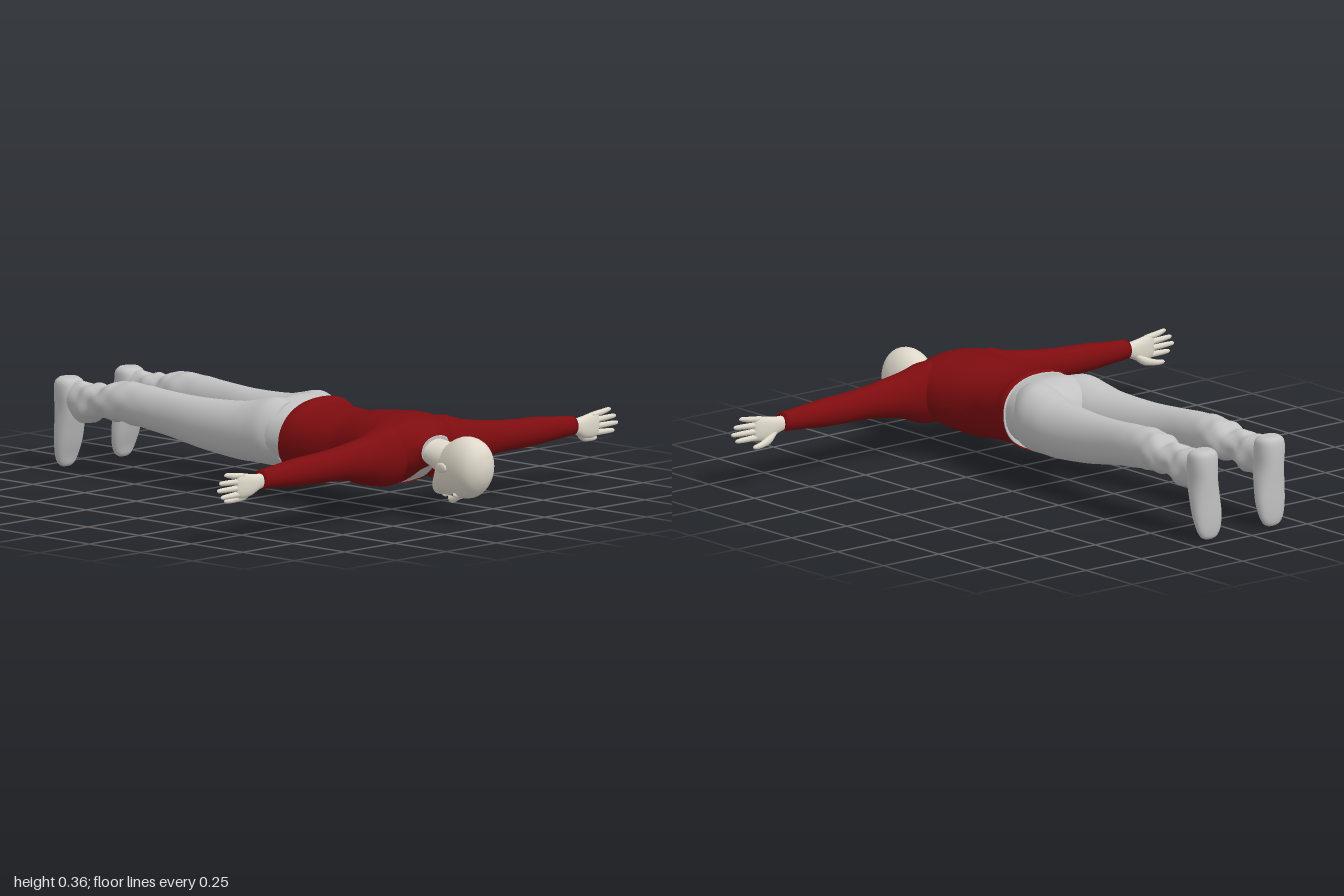
import * as THREE from 'three';

const mat = (name, color, side = THREE.FrontSide) => {
  const m = new THREE.MeshStandardMaterial({ color, side });
  m.name = name;
  return m;
};

// Lofts smooth oval rings along an axis.
// Section: [t, centreU, centreV, radiusU, radiusV, shear, wrinkle]
// Ring plane (u, v): axis z -> (x, y), axis x -> (y, z), axis y -> (z, x)
const place = {
  z: (t, u, v) => [u, v, t],
  x: (t, u, v) => [t, u, v],
  y: (t, u, v) => [v, t, u],
};
function loft(axis, sections, { sides = 28, steps = 4, power = 1, from = 0, to = Math.PI * 2, grow = 0, caps = true } = {}) {
  const rows = [];
  const at = (i, k) => sections[Math.min(Math.max(i, 0), sections.length - 1)][k] || 0;
  for (let i = 0; i < sections.length - 1; i++) {
    for (let j = 0; j < steps; j++) {
      const f = j / steps;
      rows.push([0, 1, 2, 3, 4, 5, 6].map((k) => {
        const a = at(i - 1, k), b = at(i, k), c = at(i + 1, k), d = at(i + 2, k);
        return b + 0.5 * f * (c - a + f * (2 * a - 5 * b + 4 * c - d + f * (3 * (b - c) + d - a)));
      }));
    }
  }
  rows.push([0, 1, 2, 3, 4, 5, 6].map((k) => at(sections.length - 1, k)));

  const full = to - from > 6.28;
  const cols = full ? sides : sides + 1;
  const pos = [], index = [];
  const flip = rows[rows.length - 1][0] < rows[0][0];
  const tri = (a, b, c) => (flip ? index.push(a, c, b) : index.push(a, b, c));
  const round = (x) => Math.sign(x) * Math.abs(x) ** power;
  for (const [t, cu, cv, ru, rv, shear, wrinkle] of rows) {
    for (let j = 0; j < cols; j++) {
      const a = from + (to - from) * j / sides;
      const w = 1 + wrinkle * Math.sin(2 * a + t * 75) + wrinkle * 0.6 * Math.sin(5 * a - t * 50);
      pos.push(...place[axis](t + shear * Math.sin(a),
        cu + (Math.max(ru, 0.001) + grow) * w * round(Math.cos(a)),
        cv + (Math.max(rv, 0.001) + grow) * w * round(Math.sin(a))));
    }
  }
  for (let i = 0; i < rows.length - 1; i++) {
    for (let j = 0; j < sides; j++) {
      const a = i * cols + j, b = i * cols + (j + 1) % cols;
      tri(a, b, b + cols);
      tri(a, b + cols, a + cols);
    }
  }
  if (caps && full) {
    for (const i of [0, rows.length - 1]) {
      const c = pos.length / 3;
      pos.push(...place[axis](rows[i][0], rows[i][1], rows[i][2]));
      for (let j = 0; j < cols; j++) {
        const a = i * cols + j, b = i * cols + (j + 1) % cols;
        i ? tri(a, b, c) : tri(b, a, c);
      }
    }
  }
  const g = new THREE.BufferGeometry();
  g.setAttribute('position', new THREE.Float32BufferAttribute(pos, 3));
  g.setIndex(index);
  g.computeVertexNormals();
  return g;
}

export function createModel() {
  const model = new THREE.Group();
  model.name = 'lyingFigure';
  const red = mat('jacketRed', 0x7d0c0f, THREE.DoubleSide);
  const grey = mat('clothGrey', 0xc2c2c2);
  const skin = mat('paleSkin', 0xded8ca);
  const dark = mat('eyeDark', 0x5a5550);
  const add = (name, geometry, material) => {
    const m = new THREE.Mesh(geometry, material);
    m.name = name;
    model.add(m);
    return m;
  };
  const ball = (name, material, p, r) => {
    const m = add(name, new THREE.SphereGeometry(1, 20, 14), material);
    m.position.set(...p);
    m.scale.set(...r);
    return m;
  };

  // Jacket, open along the chest, over a shirt
  const torso = [
    [0.13, 0, 0.222, 0.183, 0.133, 0.02], [0.16, 0, 0.226, 0.178, 0.134, 0.015],
    [0.22, 0, 0.217, 0.167, 0.122], [0.34, 0, 0.208, 0.154, 0.123],
    [0.42, 0, 0.21, 0.167, 0.132], [0.5, 0, 0.218, 0.19, 0.131],
    [0.57, 0, 0.228, 0.205, 0.124], [0.63, 0, 0.237, 0.195, 0.104],
    [0.67, 0, 0.24, 0.15, 0.077], [0.695, 0, 0.238, 0.09, 0.06],
    [0.715, 0, 0.238, 0.07, 0.05, 0.008],
  ];
  const gap = 0.17, down = -Math.PI / 2;
  add('jacket', loft('z', torso, { power: 0.9, sides: 44, from: down + gap, to: down + Math.PI * 2 - gap }), red);
  add('shirt', loft('z', torso, { power: 0.9, sides: 44, grow: -0.004 }), grey);

  // Trouser seat
  add('trouserSeat', loft('z', [
    [0.18, 0, 0.222, 0.16, 0.115], [0.12, 0, 0.23, 0.177, 0.121], [0.06, 0, 0.235, 0.19, 0.122],
    [0.0, 0, 0.228, 0.18, 0.108], [-0.04, 0, 0.222, 0.1, 0.08], [-0.06, 0, 0.22, 0.03, 0.04],
  ], { power: 0.9 }), grey);

  // Neck and head, face turned down
  add('neck', loft('z', [
    [0.66, 0, 0.238, 0.066, 0.05], [0.71, 0, 0.23, 0.062, 0.048],
    [0.76, 0, 0.215, 0.062, 0.058], [0.81, 0, 0.205, 0.06, 0.06],
  ]), skin);
  add('head', loft('z', [
    [0.722, 0, 0.115, 0.015, 0.015], [0.732, 0, 0.118, 0.034, 0.032], [0.75, 0, 0.135, 0.05, 0.05],
    [0.78, 0, 0.172, 0.065, 0.086], [0.82, 0, 0.186, 0.074, 0.102], [0.86, 0, 0.192, 0.079, 0.109],
    [0.9, 0, 0.194, 0.078, 0.104], [0.93, 0, 0.197, 0.068, 0.087], [0.952, 0, 0.2, 0.046, 0.058],
    [0.962, 0, 0.2, 0.022, 0.028], [0.965, 0, 0.2, 0.004, 0.005],
  ], { sides: 36 }), skin);
  add('nose', loft('z', [
    [0.783, 0, 0.09, 0.006, 0.006], [0.79, 0, 0.08, 0.017, 0.018], [0.802, 0, 0.078, 0.014, 0.018],
    [0.825, 0, 0.085, 0.009, 0.013], [0.85, 0, 0.09, 0.007, 0.008],
  ]), skin);
  ball('upperLip', skin, [0, 0.089, 0.769], [0.022, 0.01, 0.006]);
  ball('lowerLip', skin, [0, 0.092, 0.757], [0.018, 0.01, 0.006]);
  ball('mouthLine', dark, [0, 0.087, 0.763], [0.019, 0.008, 0.0015]);

  for (const s of [1, -1]) {
    const side = s > 0 ? 'left' : 'right';

    // Ears, eyes and brows
    const ear = ball(side + 'Ear', skin, [s * 0.082, 0.195, 0.82], [0.008, 0.018, 0.031]);
    ear.rotation.y = s * 0.2;
    ball(side + 'Eye', dark, [s * 0.03, 0.098, 0.833], [0.012, 0.005, 0.005]);
    ball(side + 'Brow', skin, [s * 0.031, 0.099, 0.85], [0.022, 0.011, 0.007]);

    // Sleeve
    const alongArm = (rows) => rows.map(([x, ...r]) => [s * x, ...r]);
    add(side + 'Sleeve', loft('x', alongArm([
      [0.1, 0.222, 0.595, 0.108, 0.088], [0.16, 0.22, 0.6, 0.108, 0.088], [0.21, 0.22, 0.608, 0.092, 0.073],
      [0.27, 0.222, 0.615, 0.076, 0.061], [0.4, 0.222, 0.615, 0.058, 0.05], [0.5, 0.219, 0.615, 0.053, 0.05],
      [0.6, 0.218, 0.615, 0.049, 0.046], [0.7, 0.217, 0.617, 0.04, 0.038], [0.78, 0.216, 0.62, 0.034, 0.031],
    ])), red);

    // Hand: palm, four fingers and thumb
    add(side + 'Palm', loft('x', alongArm([
      [0.75, 0.213, 0.62, 0.026, 0.022], [0.79, 0.21, 0.62, 0.027, 0.021], [0.83, 0.204, 0.621, 0.038, 0.019],
      [0.87, 0.205, 0.622, 0.044, 0.017], [0.895, 0.208, 0.624, 0.042, 0.013], [0.905, 0.208, 0.624, 0.034, 0.006],
    ]), { power: 0.85 }), skin);
    const fingers = [[0.24, 0.252, 0.965], [0.22, 0.226, 0.99], [0.199, 0.201, 1], [0.178, 0.176, 0.982]];
    fingers.forEach(([y0, y1, tip], i) => add(side + 'Finger' + (i + 1), loft('x', alongArm([
      [0.87, y0, 0.623, 0.011, 0.011], [0.92, (y0 + y1) / 2, 0.624, 0.0105, 0.01],
      [tip - 0.012, y1, 0.626, 0.008, 0.007], [tip, y1, 0.627, 0.002, 0.002],
    ]), { sides: 12 }), skin));
    add(side + 'Thumb', loft('x', alongArm([
      [0.81, 0.19, 0.616, 0.012, 0.012], [0.845, 0.167, 0.606, 0.016, 0.013], [0.89, 0.155, 0.597, 0.011, 0.01],
      [0.92, 0.153, 0.593, 0.008, 0.008], [0.93, 0.153, 0.592, 0.002, 0.002],
    ]), { sides: 12 }), skin);

    // Trouser leg, creased towards the ankle
    const leg = [
      [0.1, 0.088, 0.233, 0.085, 0.11], [0.04, 0.1, 0.235, 0.1, 0.12], [-0.04, 0.107, 0.228, 0.099, 0.11],
      [-0.12, 0.115, 0.222, 0.09, 0.102], [-0.28, 0.127, 0.228, 0.071, 0.09], [-0.42, 0.137, 0.243, 0.059, 0.08],
      [-0.55, 0.141, 0.256, 0.063, 0.076, 0, 0.01], [-0.64, 0.141, 0.261, 0.068, 0.073, 0, 0.03],
      [-0.69, 0.143, 0.258, 0.072, 0.067, 0, 0.05], [-0.73, 0.147, 0.251, 0.061, 0.058, 0, 0.06],
      [-0.77, 0.148, 0.25, 0.053, 0.06, 0, 0.06], [-0.81, 0.148, 0.238, 0.056, 0.071, 0, 0.07],
      [-0.85, 0.15, 0.24, 0.051, 0.07, 0, 0.04], [-0.885, 0.15, 0.245, 0.046, 0.062],
    ].map(([z, x, ...r]) => [z, s * x, ...r]);
    add(side + 'TrouserLeg', loft('z', leg, { steps: 6, sides: 36 }), grey);

    // Shoe, toe pointing down
    add(side + 'Shoe', loft('y', [
      [0.002, -0.936, 0.142, 0.008, 0.018], [0.012, -0.936, 0.142, 0.016, 0.035], [0.04, -0.934, 0.142, 0.023, 0.05],
      [0.09, -0.926, 0.143, 0.034, 0.058], [0.15, -0.917, 0.146, 0.044, 0.056], [0.21, -0.91, 0.149, 0.053, 0.051],
      [0.27, -0.912, 0.151, 0.051, 0.053], [0.305, -0.914, 0.151, 0.044, 0.05], [0.32, -0.916, 0.151, 0.028, 0.034],
    ].map(([y, z, x, ...r]) => [y, z, s * x, ...r]), { power: 0.85 }), grey);
  }
  return model;
}
